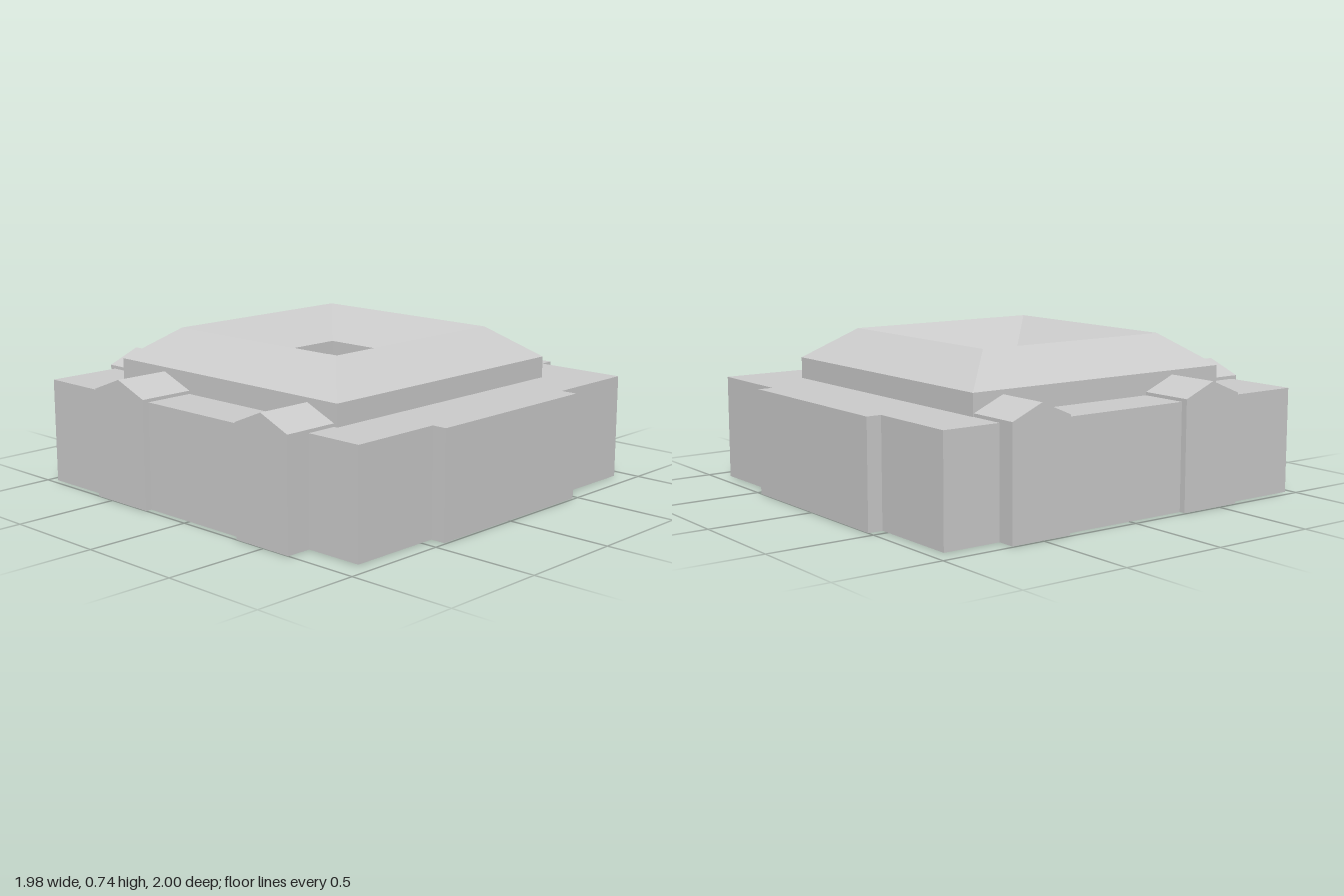
import * as THREE from 'three';

const WALL_TOP = 0.49;

export function createModel() {
  const group = new THREE.Group();
  const material = new THREE.MeshStandardMaterial({ color: 0xcccccc, flatShading: true });
  const add = (name, geometry) => {
    const mesh = new THREE.Mesh(geometry, material);
    mesh.name = name;
    group.add(mesh);
    return mesh;
  };
  const extrude = (points, depth) => new THREE.ExtrudeGeometry(
    new THREE.Shape(points.map(([x, y]) => new THREE.Vector2(x, y))),
    { depth, bevelEnabled: false });

  // Main block: stepped footprint (x, z) raised to the wall top
  const footprint = [
    [-0.96, 0.97], [0.64, 0.97], [0.64, 0.88], [0.92, 0.88], [0.92, 0.435],
    [0.99, 0.435], [0.99, -0.475], [0.91, -0.475], [0.91, -0.93], [0.465, -0.93],
    [0.465, -1], [-0.46, -1], [-0.46, -0.93], [-0.905, -0.93], [-0.905, -0.5],
    [-0.96, -0.5],
  ];
  add('mainBlock', extrude(footprint.map(([x, z]) => [x, -z]), WALL_TOP).rotateX(-Math.PI / 2));

  // Gabled bays running from the roof wall out past the facade
  const gable = (a, b, start, end) => extrude(
    [[a, 0], [b, 0], [b, 0.505], [(a + b) / 2, 0.57], [a, 0.505]], end - start)
    .translate(0, 0, start);
  for (const [a, b] of [[-0.6, -0.26], [0.335, 0.645]]) {
    add('frontGableBay', gable(a, b, 0.73, 1));
  }
  for (const [a, b] of [[-0.655, -0.355], [0.295, 0.61]]) {
    add('rightGableBay', gable(a, b, 0.73, 0.99).rotateY(-Math.PI / 2));
  }

  // Ring roof: square loops from outer wall foot over the ridge to the courtyard floor
  const cx = -0.034, cz = 0.037;
  const loops = [
    [0.697, WALL_TOP], [0.697, 0.59], [0.5, 0.735], [0.303, 0.59], [0.303, WALL_TOP],
  ].map(([r, y]) => [[-r, r], [r, r], [r, -r], [-r, -r]].map(([x, z]) => [cx + x, y, cz + z]));
  const positions = [];
  for (let i = 0; i < loops.length - 1; i++) {
    for (let k = 0; k < 4; k++) {
      const n = (k + 1) % 4;
      const a = loops[i][k], b = loops[i][n], c = loops[i + 1][n], d = loops[i + 1][k];
      positions.push(...a, ...b, ...c, ...a, ...c, ...d);
    }
  }
  const roof = new THREE.BufferGeometry();
  roof.setAttribute('position', new THREE.Float32BufferAttribute(positions, 3));
  roof.computeVertexNormals();
  add('ringRoof', roof);

  // Low platform in the courtyard
  add('courtyardPlatform', new THREE.BoxGeometry(0.43, 0.06, 0.385))
    .position.set(-0.035, WALL_TOP + 0.03, 0.037);

  return group;
}
